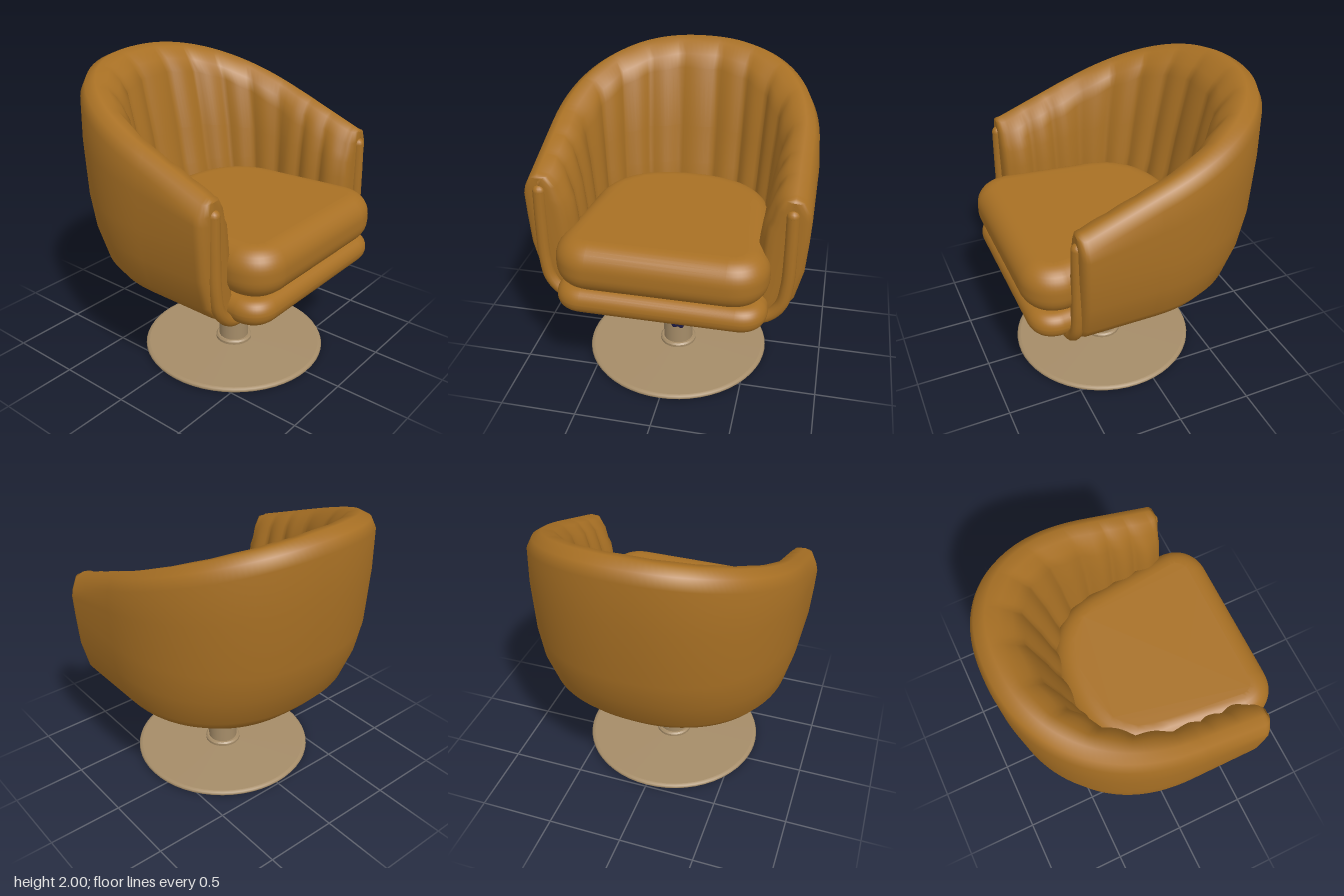
import * as THREE from 'three';
import { mergeVertices } from 'three/addons/utils/BufferGeometryUtils.js';

const mat = (name, color) => Object.assign(new THREE.MeshStandardMaterial({ color }), { name });

// Smooth surface through a grid of points: rows[i][j] is a Vector3
function loft(rows) {
  const n = rows[0].length, pos = [], idx = [];
  rows.forEach(r => r.forEach(p => pos.push(p.x, p.y, p.z)));
  for (let i = 0; i < rows.length - 1; i++)
    for (let j = 0; j < n - 1; j++) {
      const a = i * n + j, b = a + n;
      idx.push(a, b, a + 1, b, b + 1, a + 1);
    }
  const g = new THREE.BufferGeometry();
  g.setAttribute('position', new THREE.Float32BufferAttribute(pos, 3));
  g.setIndex(idx);
  g.computeVertexNormals();
  return g;
}

// Section of the tub wall: [half width, depth behind the arc centre, height], for rim height H
const outerWall = H => [[0, 0, 0.6], [0.42, 0.5, 0.6], [0.57, 0.6, 0.62], [0.67, 0.66, 0.66],
  [0.755, 0.72, 0.72], [0.81, 0.79, 0.8], [0.86, 0.87, 1], [0.875, 0.92, 1.2],
  [0.882, 0.95, 0.6 + H / 2], [0.87, 0.958, H - 0.1], [0.835, 0.93, H - 0.03]];
const innerWall = H => [[0.71, 0.79, H - 0.02], [0.66, 0.72, H - 0.09], [0.635, 0.66, H - 0.17],
  [0.61, 0.57, 1.2 + (H - 1.2) * 0.3], [0.595, 0.52, 1.18], [0.58, 0.47, 1], [0.58, 0.47, 0.85],
  [0.57, 0.46, 0.78], [0.5, 0.4, 0.74], [0.3, 0.3, 0.72], [0, 0, 0.72]];
const fluteDepth = [0.006, 0.016, 0.026, 0.032, 0.034, 0.034, 0.034, 0.02, 0, 0, 0];

const FLUTES = 15, STEPS = FLUTES * 8, ARM = 0.18, ARC_Z = 0.1, FRONT_Z = 0.55;

// One station of the tub: t runs from the left arm round the back to the right arm
function station(t, push = 0, close = 0) {
  const end = Math.min(t, 1 - t);
  const th = THREE.MathUtils.clamp((t - ARM) / (1 - 2 * ARM), 0, 1) * Math.PI;
  const c = Math.cos(th), s = Math.max(0, Math.sin(th));
  const cx = Math.sign(c) * Math.abs(c) ** 0.89, sz = s < 1e-6 ? 0 : s ** 0.89;
  const armZ = end < ARM ? (1 - end / ARM) * (FRONT_Z - ARC_Z) : 0;
  const H = 1.71 - 0.385 * (ARC_Z + armZ - 0.86 * sz);
  const flute = Math.abs(Math.sin(t * FLUTES * Math.PI));
  const inner = innerWall(H).map(([a, b, y], i) =>
    [a - fluteDepth[i] * (flute - 0.5), b - fluteDepth[i] * (flute - 0.5), y]);
  const sec = [...outerWall(H), [0.78, 0.86, H], ...inner];
  const n = sec.length - 1;
  return sec.map((p, i) => {
    const q = sec[n - i];
    const mid = i === n / 2 ? [0.765, 0.84, H - 0.1] : p.map((v, k) => (v + q[k]) / 2);
    const [a, b, y] = p.map((v, k) => v + (mid[k] - v) * close);
    return new THREE.Vector3(a * cx, y, ARC_Z + armZ + push - b * sz);
  });
}

function tubGeometry() {
  // the arm fronts are rounded off by stations that close on the middle of the wall
  const caps = [[0.045, 1], [0.045, 0.5], [0.035, 0.2], [0.018, 0.06]];
  const rows = caps.map(([p, k]) => station(0, p, k));
  for (let i = 0; i <= STEPS; i++) rows.push(station(i / STEPS));
  caps.reverse().forEach(([p, k]) => rows.push(station(1, p, k)));
  return loft(rows);
}

// Puffy cushion with a round back and rounded front corners
function cushionGeometry(w, front, y0, y1, r) {
  const a = w - r, f = front - r, back = 0.42 - r, c = 0.1;
  const s = new THREE.Shape();
  s.moveTo(-a + c, -f);
  s.lineTo(a - c, -f);
  s.quadraticCurveTo(a, -f, a, -f + c);
  s.lineTo(a - 0.06, -0.1);
  s.bezierCurveTo(a - 0.06, back * 0.6, a * 0.55, back, 0, back);
  s.bezierCurveTo(-a * 0.55, back, -a + 0.06, back * 0.6, -a + 0.06, -0.1);
  s.lineTo(-a, -f + c);
  s.quadraticCurveTo(-a, -f, -a + c, -f);
  let g = new THREE.ExtrudeGeometry(s, { depth: Math.max(y1 - y0 - 2 * r, 0.005), bevelThickness: r,
    bevelSize: r, bevelSegments: 8, curveSegments: 14 });
  g.rotateX(-Math.PI / 2);
  g.translate(0, y0 + r, 0);
  g.deleteAttribute('normal');
  g.deleteAttribute('uv');
  g = mergeVertices(g, 1e-4);
  g.computeVertexNormals();
  return g;
}

export function createModel() {
  const model = new THREE.Group();
  const leather = mat('tan leather', 0xa87024);
  const metal = mat('beige metal', 0xa58c68);
  const plastic = mat('navy plastic', 0x1c1a42);
  const add = (name, geo, m, x = 0, y = 0, z = 0, parent = model) => {
    const mesh = new THREE.Mesh(geo, m);
    mesh.name = name;
    mesh.position.set(x, y, z);
    parent.add(mesh);
    return mesh;
  };

  // Upholstery
  add('tubShell', tubGeometry(), leather);
  add('seatCushion', cushionGeometry(0.665, 0.85, 0.82, 1.145, 0.14), leather);
  add('lowerCushion', cushionGeometry(0.665, 0.83, 0.655, 0.825, 0.083), leather);

  // Piping up both arm fronts and under the seat
  const half = [[0.77, 1.385, 0.585], [0.772, 1.15, 0.59], [0.765, 0.9, 0.595], [0.735, 0.765, 0.598],
    [0.65, 0.675, 0.6], [0.5, 0.645, 0.6], [0.25, 0.638, 0.6]];
  const path = [...half, ...half.map(([x, y, z]) => [-x, y, z]).reverse()].map(p => new THREE.Vector3(...p));
  add('frontPiping', new THREE.TubeGeometry(new THREE.CatmullRomCurve3(path), 120, 0.04, 12), leather);
  for (const side of [1, -1])
    add('pipingEnd', new THREE.SphereGeometry(0.04, 14, 10), leather, side * 0.77, 1.385, 0.585);

  // Pedestal
  const base = new THREE.Group();
  base.name = 'pedestal';
  base.position.set(-0.005, 0, 0.13);
  model.add(base);
  const lathe = pts => new THREE.LatheGeometry(pts.map(p => new THREE.Vector2(...p)), 56);
  add('baseDisc', lathe([[0, 0.005], [0.6, 0.005], [0.6, 0.005], [0.618, 0.009], [0.625, 0.02],
    [0.618, 0.031], [0.6, 0.036], [0.6, 0.036], [0, 0.042]]), metal, 0, 0, 0, base);
  add('columnFlange', lathe([[0.125, 0.03], [0.125, 0.058], [0.125, 0.058], [0.115, 0.068], [0.115, 0.068], [0.09, 0.068]]),
    metal, 0, 0, 0, base);
  add('columnSleeve', new THREE.CylinderGeometry(0.102, 0.102, 0.36, 40), metal, 0, 0.222, 0, base);
  add('columnPost', new THREE.CylinderGeometry(0.052, 0.052, 0.15, 32), metal, 0, 0.455, 0, base);
  add('columnNeck', new THREE.CylinderGeometry(0.046, 0.046, 0.12, 32), metal, 0, 0.57, 0, base);

  // Lobed height knob on its stem
  const lobes = new THREE.Shape();
  for (let i = 0; i < 72; i++) {
    const a = i / 72 * Math.PI * 2, r = 0.047 + 0.009 * Math.cos(6 * a);
    lobes[i ? 'lineTo' : 'moveTo'](r * Math.cos(a), r * Math.sin(a));
  }
  const knob = new THREE.ExtrudeGeometry(lobes, { depth: 0.04, bevelThickness: 0.012, bevelSize: 0.01, bevelSegments: 3 });
  add('knob', knob, plastic, 0.03, 0.325, 0.27);
  add('knobStem', new THREE.CylinderGeometry(0.025, 0.025, 0.08, 20), plastic, 0.03, 0.325, 0.24).rotation.x = Math.PI / 2;

  return model;
}
